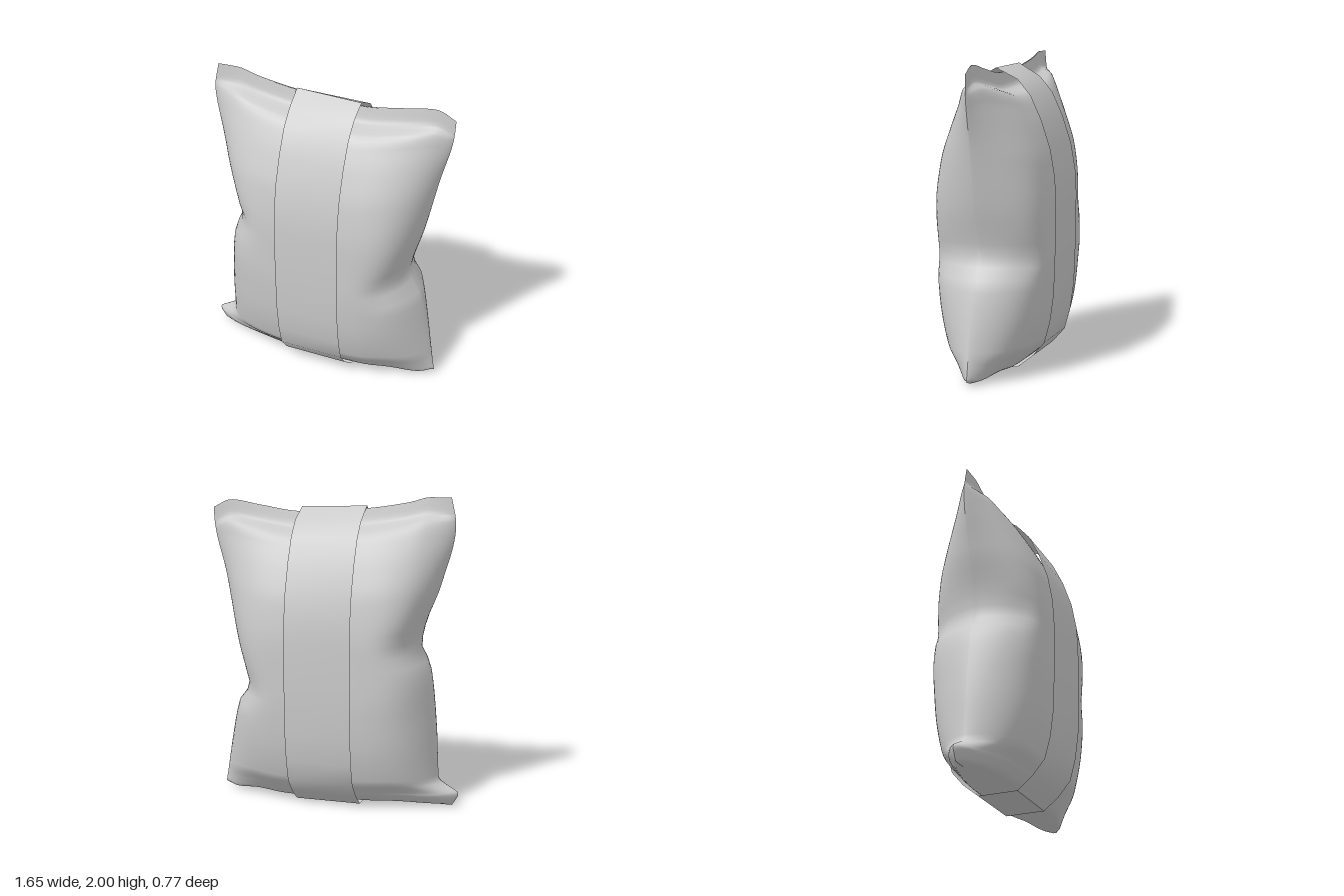
import * as THREE from 'three';
import { toCreasedNormals } from 'three/addons/utils/BufferGeometryUtils.js';

const material = new THREE.MeshStandardMaterial({ color: 0xcccccc, side: THREE.DoubleSide });

// Outline and thickness tables; first column is the fraction of height v (or x for the seams)
const DEPTH = [[0, 0], [0.01, 0.135], [0.03, 0.185], [0.05, 0.222], [0.1, 0.29], [0.25, 0.35], [0.4, 0.367],
  [0.55, 0.367], [0.7, 0.338], [0.8, 0.28], [0.88, 0.212], [0.925, 0.15], [0.95, 0.03], [1, 0.004]];
const LEFT_EDGE = [[0, -0.79], [0.04, -0.83], [0.085, -0.7], [0.25, -0.68], [0.45, -0.63], [0.52, -0.565],
  [0.58, -0.585], [0.72, -0.69], [0.915, -0.78], [1, -0.75]];
const RIGHT_EDGE = [[0, 0.775], [0.2, 0.71], [0.33, 0.645], [0.385, 0.565], [0.43, 0.58], [0.55, 0.65],
  [0.75, 0.74], [0.95, 0.82], [1, 0.825]];
const TOP_SEAM = [[-0.85, 2], [-0.62, 2], [-0.48, 1.965], [-0.2, 1.92], [0.23, 1.89], [0.5, 1.925], [0.7, 1.955], [0.83, 1.9]];
const BOTTOM_SEAM = [[-0.85, 0.01], [-0.7, 0.01], [-0.45, 0.02], [-0.2, 0.012], [0.3, 0.012], [0.5, 0.025], [0.68, 0.01], [0.8, 0.045]];

// Smooth lookup through the points of a table
function lookup(table, t) {
  const last = table.length - 1;
  let i = 0;
  while (i < last - 1 && t > table[i + 1][0]) i++;
  const slope = (a, b) => (table[b][1] - table[a][1]) / (table[b][0] - table[a][0]);
  const tangent = (k) => {
    if (k === 0) return slope(0, 1);
    if (k === last) return slope(last - 1, last);
    const a = slope(k - 1, k), b = slope(k, k + 1);
    return a * b <= 0 ? 0 : (2 * a * b) / (a + b);
  };
  const h = table[i + 1][0] - table[i][0];
  const f = THREE.MathUtils.clamp((t - table[i][0]) / h, 0, 1);
  const f2 = f * f, f3 = f2 * f;
  return table[i][1] * (2 * f3 - 3 * f2 + 1) + tangent(i) * h * (f3 - 2 * f2 + f)
    + table[i + 1][1] * (3 * f2 - 2 * f3) + tangent(i + 1) * h * (f3 - f2);
}

// Grid of points joined into one smooth sheet
function sheet(rows, flip) {
  const n = rows[0].length, index = [];
  for (let j = 0; j < rows.length - 1; j++) {
    for (let i = 0; i < n - 1; i++) {
      const a = j * n + i, b = a + 1, c = a + n, d = c + 1;
      if (flip) index.push(a, d, b, a, c, d);
      else index.push(a, b, d, a, d, c);
    }
  }
  const geometry = new THREE.BufferGeometry();
  geometry.setAttribute('position', new THREE.Float32BufferAttribute(rows.flat(2), 3));
  geometry.setIndex(index);
  geometry.computeVertexNormals();
  return geometry;
}

// Thickness across the width: boxy where the side is drawn in, pointed where it flares out
function bulge(s, edge) {
  const tight = THREE.MathUtils.clamp((0.8 - Math.abs(edge)) / 0.235, 0, 1);
  return Math.pow(Math.max(0, 1 - Math.abs(s) ** (2.5 + 4.5 * tight)), 0.8 - 0.2 * tight);
}

// One face of the pillow bag: side is 1 for the front, -1 for the back
function bagFace(side) {
  const levels = [];
  for (let k = 0; k < DEPTH.length - 1; k++) {
    for (let m = 0; m < 4; m++) levels.push(THREE.MathUtils.lerp(DEPTH[k][0], DEPTH[k + 1][0], m / 4));
  }
  levels.push(1);
  const columns = 48;
  const rows = levels.map((v) => {
    const left = lookup(LEFT_EDGE, v), right = lookup(RIGHT_EDGE, v);
    const row = [];
    for (let i = 0; i <= columns; i++) {
      const s = -Math.cos((Math.PI * i) / columns);
      const x = THREE.MathUtils.lerp(left, right, (s + 1) / 2);
      const bottom = lookup(BOTTOM_SEAM, x);
      const y = bottom + v * (lookup(TOP_SEAM, x) - bottom);
      // Small folds where the sides are drawn in
      const dent = (cx, cy) => Math.exp(-(((x - cx) / 0.1) ** 2) - ((y - cy) / 0.08) ** 2);
      const pinch = 1 - 0.12 * dent(-0.53, 1.07) - 0.12 * dent(0.53, 0.75);
      const z = lookup(DEPTH, v) * bulge(s, s < 0 ? left : right) * pinch;
      row.push([x, y, side * z - 0.025 * x * v]);
    }
    return row;
  });
  return sheet(rows, side < 0);
}

// Flat band wrapped once around the bag; profile points are [z, y]
function bandGeometry() {
  const front = [[0.13, 0.004], [0.23, 0.085], [0.31, 0.18], [0.348, 0.32], [0.372, 0.5], [0.382, 0.8], [0.384, 1.1],
    [0.375, 1.25], [0.345, 1.42], [0.285, 1.6], [0.215, 1.75], [0.13, 1.85]];
  const back = front.map(([z, y]) => [-z, y]).reverse();
  const loop = [...front, [0.015, 1.928], ...back, front[0]];
  const rows = loop.map(([z, y]) => {
    const tilt = y > 1.9 ? 0.008 : 0;
    return [[-0.205, y + tilt, z], [0.228, y - tilt, z]];
  });
  return toCreasedNormals(sheet(rows, false), 0.65);
}

export function createModel() {
  const group = new THREE.Group();
  const add = (name, geometry) => {
    const mesh = new THREE.Mesh(geometry, material);
    mesh.name = name;
    group.add(mesh);
  };
  add('bagFront', bagFace(1));
  add('bagBack', bagFace(-1));
  add('wrapBand', bandGeometry());
  return group;
}
